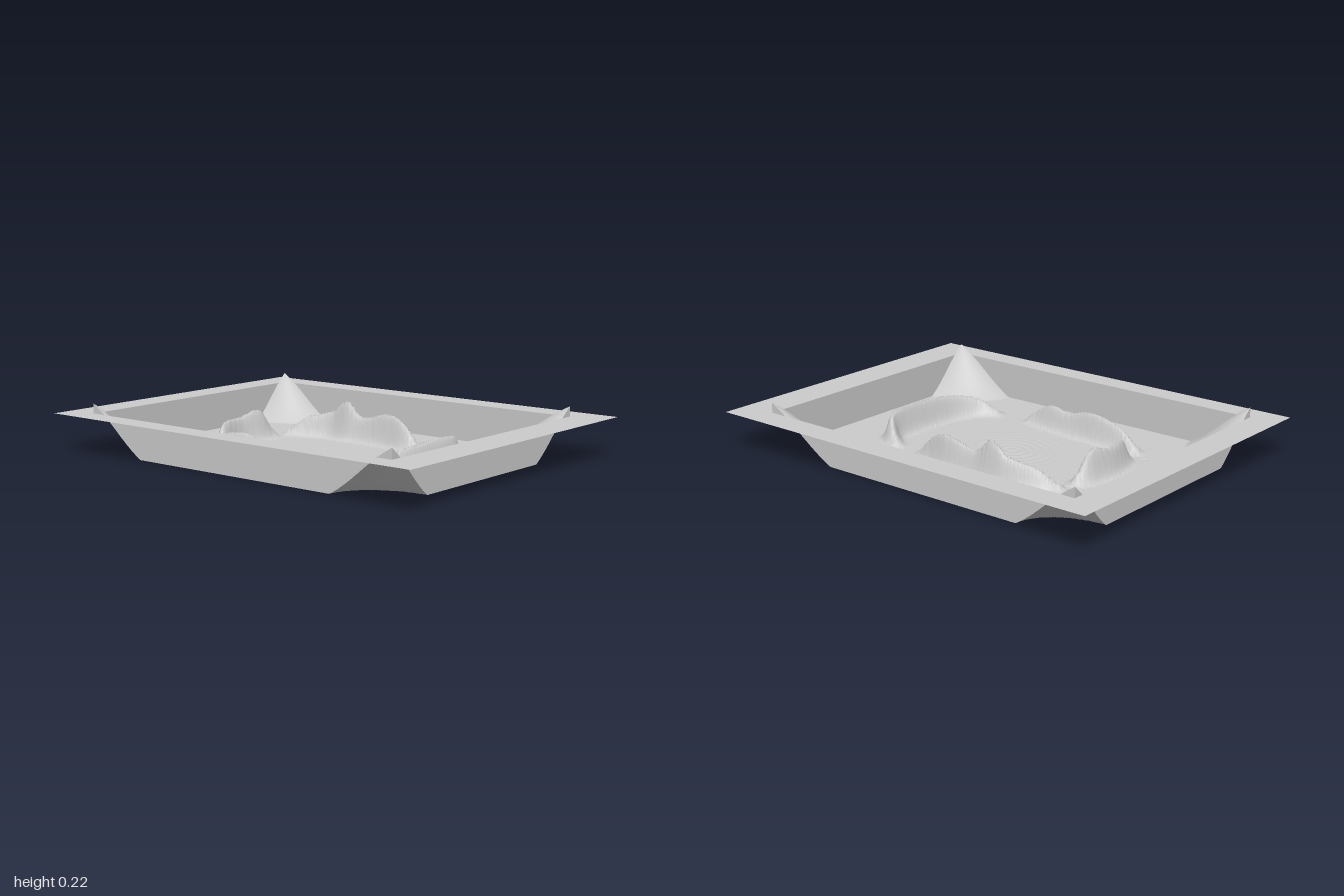
import * as THREE from 'three';

const X0 = -0.655, X1 = 0.64, Z0 = -0.86, Z1 = 0.83, RIM = 0.18, FLOOR = 0.004;
const material = new THREE.MeshStandardMaterial({ color: 0xcccccc, side: THREE.DoubleSide });

// Corner mounds: corner x, corner z, reach in x, reach in z
const mounds = [
  [X0, Z0, 0.23, 0.3], [X1, Z0, 0.21, 0.29],
  [X0, Z1, 0.23, 0.31], [X1, Z1, 0.27, 0.36],
];

// Ridge crest lines: x, crest height, z
const ridges = [
  [[-0.25, 0.04, -0.46], [-0.2, 0.11, -0.49], [-0.06, 0.12, -0.52], [0.06, 0.14, -0.51], [0.13, 0.05, -0.5]],
  [[0.24, 0.03, -0.47], [0.28, 0.09, -0.4], [0.32, 0.13, -0.27], [0.32, 0.185, -0.18], [0.32, 0.12, -0.1],
    [0.31, 0.15, 0.08], [0.29, 0.11, 0.18], [0.28, 0.04, 0.25]],
  [[-0.35, 0.04, -0.45], [-0.37, 0.09, -0.37], [-0.385, 0.13, -0.2], [-0.395, 0.1, -0.05],
    [-0.41, 0.11, 0.06], [-0.42, 0.05, 0.17]],
  [[-0.39, 0.03, 0.39], [-0.35, 0.08, 0.46], [-0.24, 0.11, 0.52], [0, 0.13, 0.545],
    [0.17, 0.12, 0.535], [0.22, 0.07, 0.49], [0.25, 0.03, 0.44]],
].map(points => new THREE.CatmullRomCurve3(points.map(p => new THREE.Vector3(...p))).getSpacedPoints(50));

// Repeatable surface grain
function grain(x, z) {
  const s = Math.sin(x * 1271.7 + z * 3117.3) * 43758.5453;
  return s - Math.floor(s) - 0.5;
}

function heightAt(x, z) {
  let y = FLOOR;
  // faint concentric ripples
  const r = Math.hypot((x + 0.04) / 0.85, z);
  if (r < 0.32) y += 0.002 * Math.sin(r * 150) * (1 - r / 0.32);
  // ridges
  for (const points of ridges) {
    let best = Infinity, crest = 0;
    for (const p of points) {
      const d = (p.x - x) ** 2 + (p.z - z) ** 2;
      if (d < best) { best = d; crest = p.y; }
    }
    const d = Math.sqrt(best);
    if (d < 0.11) y += 0.003 * grain(x, z);
    y += crest * Math.exp(-((d / 0.031) ** 2));
  }
  // mounds
  for (const [cx, cz, rx, rz] of mounds) {
    const t = Math.hypot((x - cx) / rx, (z - cz) / rz);
    if (t < 1) y = Math.max(y, FLOOR + 0.222 * (0.75 * (1 - t) + 0.125 * (1 + Math.cos(Math.PI * t))));
  }
  return Math.max(0, y);
}

// Smooth sheet from a rule (u, v) -> [x, y, z]
function sheet(name, nu, nv, rule) {
  const geometry = new THREE.PlaneGeometry(1, 1, nu, nv);
  const position = geometry.attributes.position;
  for (let j = 0, k = 0; j <= nv; j++) {
    for (let i = 0; i <= nu; i++, k++) position.setXYZ(k, ...rule(i / nu, j / nv));
  }
  geometry.computeVertexNormals();
  const mesh = new THREE.Mesh(geometry, material);
  mesh.name = name;
  return mesh;
}

export function createModel() {
  const model = new THREE.Group();
  model.name = 'terrainTray';
  const lerp = THREE.MathUtils.lerp;

  // Sculpted floor with ridges, ripples and corner mounds
  model.add(sheet('floor', 170, 220, (u, v) => {
    const x = lerp(X0, X1, u), z = lerp(Z0, Z1, v);
    return [x, heightAt(x, z), z];
  }));

  // Walls from the rim to the edge of the floor
  const wall = (name, ax, az, bx, bz) => model.add(sheet(name, 200, 1, (u, v) => {
    const x = lerp(ax, bx, u), z = lerp(az, bz, u);
    return [x, v ? heightAt(x, z) : RIM, z];
  }));
  wall('backWall', X0, Z0, X1, Z0);
  wall('leftWall', X1, Z0, X1, Z1);
  wall('frontWall', X1, Z1, X0, Z1);
  wall('rightWall', X0, Z1, X0, Z0);

  // Flat rim with a rectangular opening (shape y becomes -z)
  const rectangle = (Type, x0, x1, z0, z1) => new Type([[x0, -z0], [x1, -z0], [x1, -z1], [x0, -z1]]
    .map(p => new THREE.Vector2(...p)));
  const shape = rectangle(THREE.Shape, -0.765, 0.765, -1, 1);
  shape.holes.push(rectangle(THREE.Path, X0, X1, Z0, Z1));
  const rim = new THREE.Mesh(new THREE.ShapeGeometry(shape).rotateX(-Math.PI / 2), material);
  rim.position.y = RIM;
  rim.name = 'rim';
  model.add(rim);

  return model;
}
